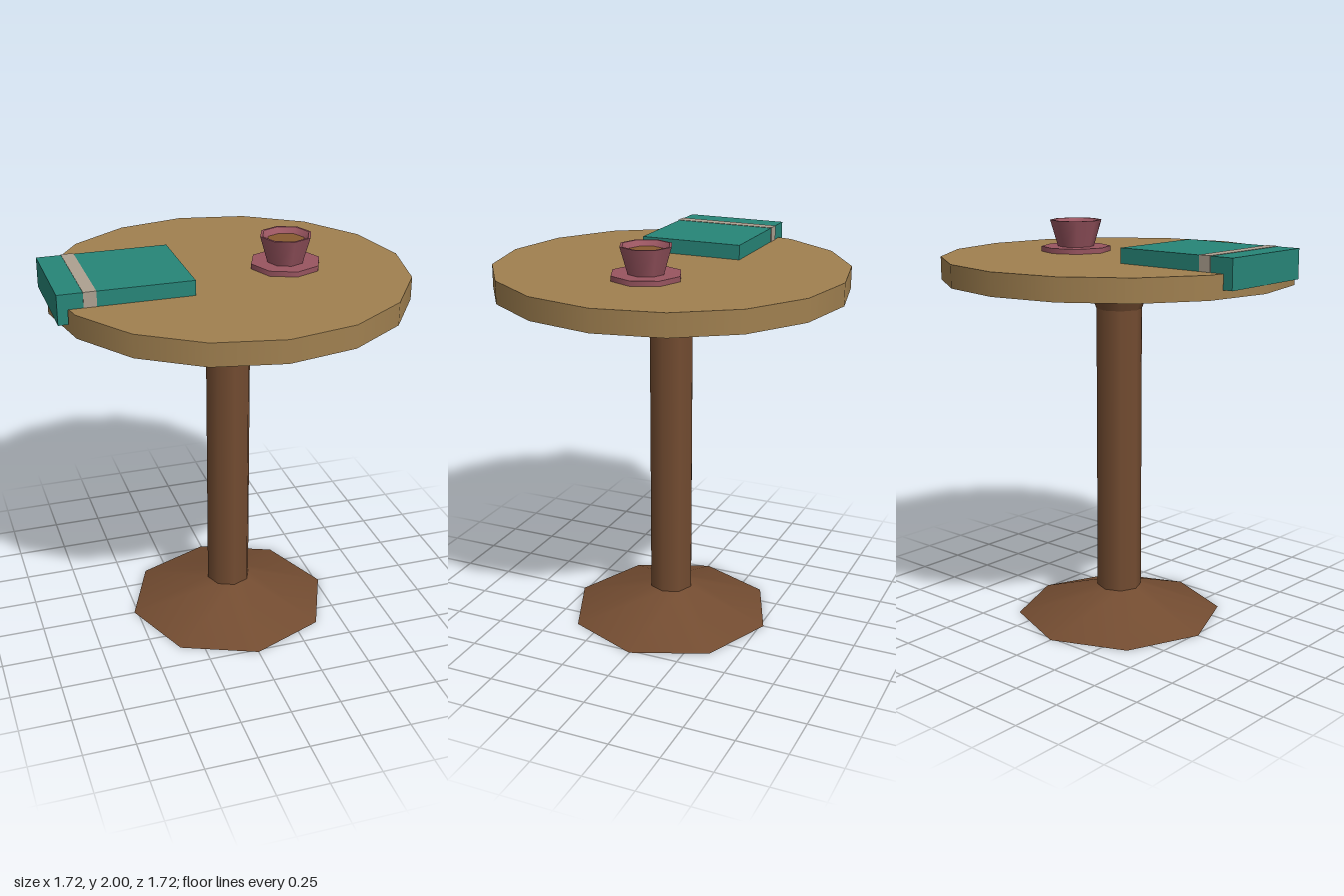
import * as THREE from 'three';

const paint = (color) => new THREE.MeshStandardMaterial({ color, side: THREE.DoubleSide });
const wood = paint(0x734c31);
const topWood = paint(0xa08050);
const teal = paint(0x278578);
const cream = paint(0xada090);
const rose = paint(0x995560);
const coffee = paint(0x885a30);

function add(parent, name, geometry, material, x = 0, y = 0, z = 0) {
  const mesh = new THREE.Mesh(geometry, material);
  mesh.name = name;
  mesh.position.set(x, y, z);
  parent.add(mesh);
  return mesh;
}

// Faceted ring or disc stack between two heights
function drum(parent, name, rTop, rBottom, y0, y1, sides, material, open) {
  const g = new THREE.CylinderGeometry(rTop, rBottom, y1 - y0, sides, 1, open);
  return add(parent, name, g, material, 0, (y0 + y1) / 2, 0);
}

export function createModel() {
  const model = new THREE.Group();
  model.name = 'cafeTable';

  // Hollow pedestal, open underneath
  const pedestal = new THREE.Group();
  pedestal.name = 'pedestal';
  drum(pedestal, 'foot', 0.112, 0.518, 0, 0.145, 8, wood, true);
  drum(pedestal, 'column', 0.112, 0.112, 0.145, 1.585, 8, wood, true);
  drum(pedestal, 'columnFlare', 0.172, 0.112, 1.585, 1.735, 8, wood, true);
  model.add(pedestal);

  drum(model, 'tableTop', 0.862, 0.862, 1.735, 1.845, 16, topWood, false);

  // Folded cloth: flat slab with an end hanging over the edge
  const cloth = new THREE.Group();
  cloth.name = 'foldedCloth';
  const outline = new THREE.Shape([
    [-0.863, 1.775], [-0.815, 1.775], [-0.815, 1.845],
    [-0.232, 1.845], [-0.232, 1.917], [-0.863, 1.917],
  ].map(([x, y]) => new THREE.Vector2(x, y)));
  const slab = new THREE.ExtrudeGeometry(outline, { depth: 0.516, bevelEnabled: false });
  add(cloth, 'cloth', slab, teal, 0, 0, -0.258);
  add(cloth, 'clothStripe', new THREE.BoxGeometry(0.06, 0.073, 0.524), cream, -0.715, 1.8825, 0);
  model.add(cloth);

  // Cup on its saucer
  const cup = new THREE.Group();
  cup.name = 'cupAndSaucer';
  cup.position.x = 0.286;
  drum(cup, 'saucer', 0.172, 0.172, 1.845, 1.87, 8, rose, false);
  drum(cup, 'cupWall', 0.128, 0.09, 1.87, 2, 8, rose, true);
  drum(cup, 'cupInside', 0.116, 0.092, 1.975, 2, 8, rose, true);
  const rim = add(cup, 'cupRim', new THREE.RingGeometry(0.116, 0.128, 8), rose, 0, 2, 0);
  const drink = add(cup, 'drink', new THREE.CircleGeometry(0.092, 8), coffee, 0, 1.975, 0);
  rim.rotation.x = drink.rotation.x = -Math.PI / 2;
  model.add(cup);

  return model;
}
